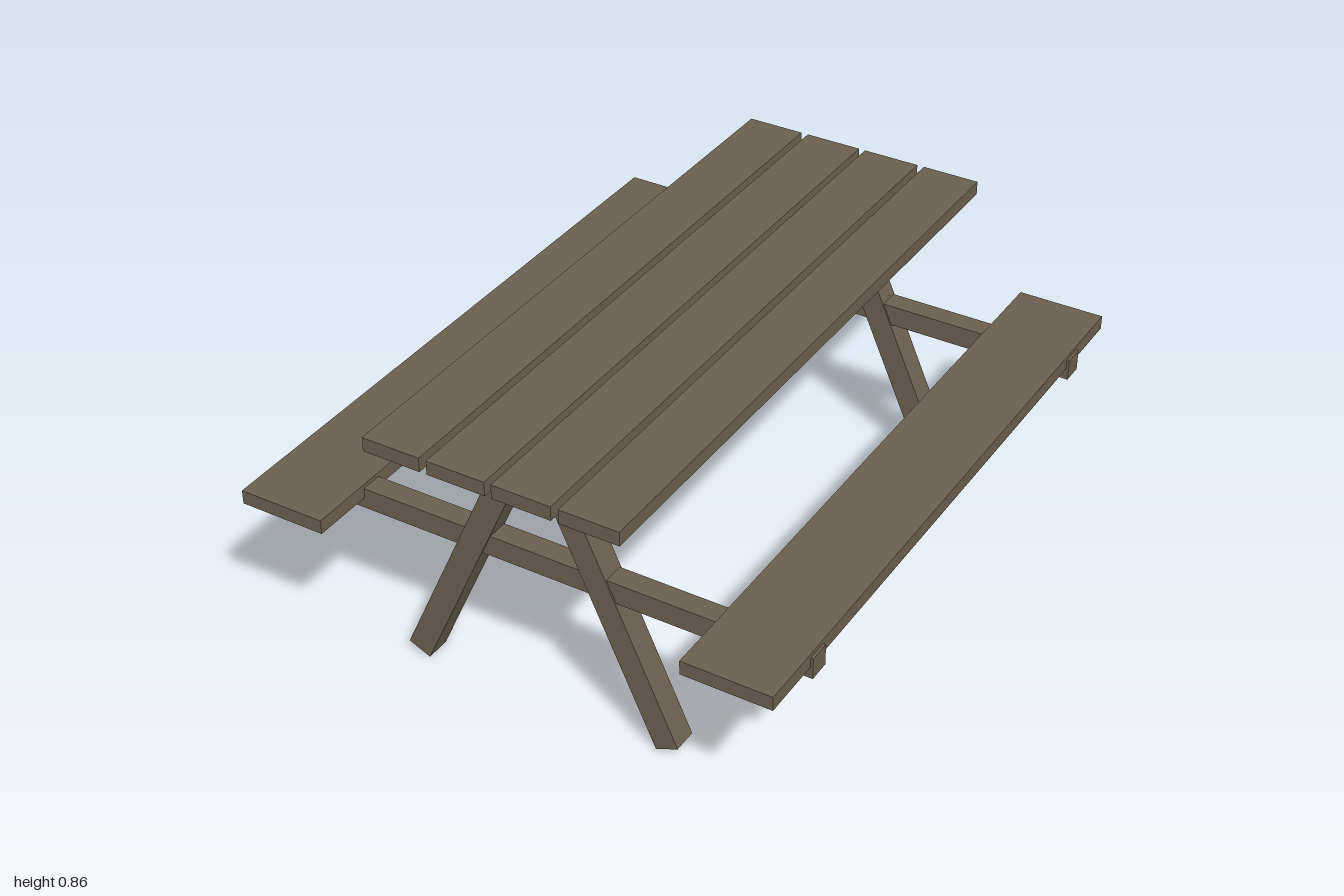
import * as THREE from 'three';

export function createModel() {
  const group = new THREE.Group();
  const wood = new THREE.MeshStandardMaterial({ color: 0x6a5f4e });
  wood.name = 'weathered wood';

  // A straight timber, optionally tilted about z
  function timber(name, size, position, tilt = 0) {
    const mesh = new THREE.Mesh(new THREE.BoxGeometry(...size), wood);
    mesh.name = name;
    mesh.position.set(...position);
    mesh.rotation.z = tilt;
    group.add(mesh);
  }

  const lean = THREE.MathUtils.degToRad(24.2);
  const frameZ = 0.778;

  for (const side of [-1, 1]) {
    // Tabletop planks and bench seat
    timber('innerTablePlank', [0.178, 0.043, 2], [side * 0.099, 0.8345, 0]);
    timber('outerTablePlank', [0.178, 0.043, 2], [side * 0.299, 0.8345, 0]);
    timber('benchSeat', [0.266, 0.043, 2], [side * 0.689, 0.5015, 0]);

    // Splayed legs, tops let into the tabletop
    for (const end of [-1, 1]) {
      timber('leg', [0.074, 0.886, 0.075], [side * 0.2225, 0.4195, end * frameZ], side * lean);
    }
  }

  // Cross beams carrying the benches
  for (const end of [-1, 1]) {
    timber('crossBeam', [1.66, 0.065, 0.066], [0, 0.478, end * frameZ]);
  }

  return group;
}
